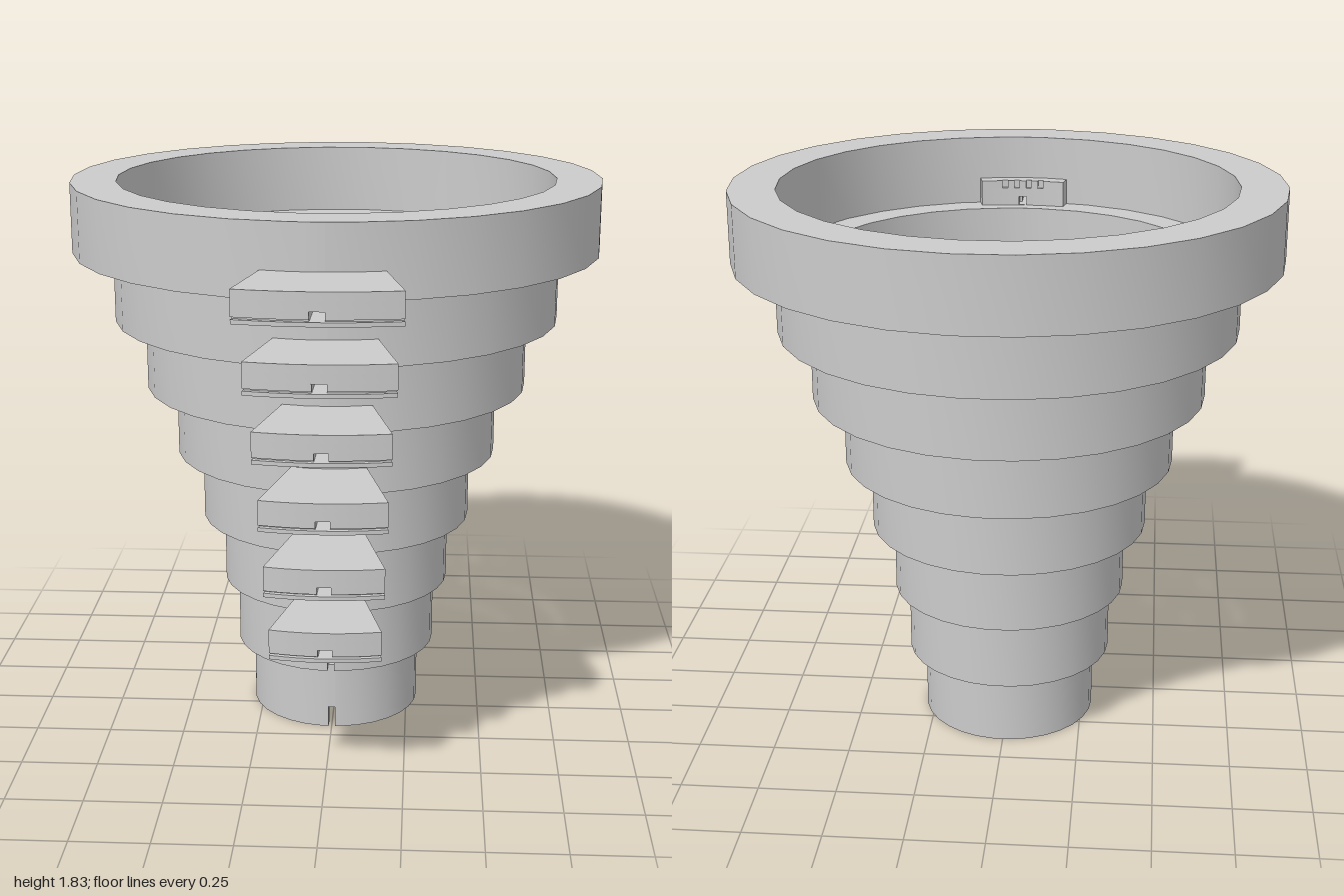
import * as THREE from 'three';
import { toCreasedNormals } from 'three/addons/utils/BufferGeometryUtils.js';

const material = new THREE.MeshStandardMaterial({ color: 0xcccccc });
const DEG = Math.PI / 180;

// Point at radius r, angle a measured from the front
const polar = (r, a) => new THREE.Vector2(r * Math.sin(a), -r * Math.cos(a));

// Arc from a0 to a1, with corners on a regular grid of the given step
function arc(r, a0, a1, step) {
  const pts = [polar(r, a0)];
  const first = Math.ceil((a0 + 1e-4) / step - 0.5);
  for (let k = first; (k + 0.5) * step < a1 - 1e-4; k++) pts.push(polar(r, (k + 0.5) * step));
  pts.push(polar(r, a1));
  return pts;
}

// Upright slab over a plan outline, from y0 to y1
function slab(name, points, y0, y1) {
  const geo = new THREE.ExtrudeGeometry(new THREE.Shape(points), { depth: y1 - y0, bevelEnabled: false });
  geo.rotateX(-Math.PI / 2);
  geo.translate(0, y0, 0);
  const mesh = new THREE.Mesh(toCreasedNormals(geo, 0.5), material);
  mesh.name = name;
  return mesh;
}

// Plan outline of a piece of a ring
const sector = (ri, ro, a0, a1, step) =>
  [...arc(ro, a0, a1, step), ...arc(ri, a0, a1, step).reverse()];

// Sector with small square notches cut into its inner edge
function notchedSector(ri, ro, half, count, depth) {
  const inner = [polar(ri, -half)];
  const pitch = (half * 1.15) / count, w = pitch * 0.22;
  for (let i = 0; i < count; i++) {
    const a = (i - (count - 1) / 2) * pitch;
    inner.push(polar(ri, a - w), polar(ri + depth, a - w), polar(ri + depth, a + w), polar(ri, a + w));
  }
  inner.push(polar(ri, half));
  return [...arc(ro, -half, half, 3 * DEG), ...inner.reverse()];
}

// Tiered tube with a narrow slot at the foot of its front wall
function makeTier({ outer, inner }, y0, y1) {
  const g = new THREE.Group();
  g.name = 'tier';
  const gap = 0.011 / outer;
  const step = 12 * DEG;
  g.add(slab('tierWall', sector(inner, outer, gap, 2 * Math.PI - gap, step), y0, y1));
  g.add(slab('wallAboveSlot', sector(inner, outer, -gap, gap, step), y0 + 0.072, y1));
  return g;
}

// Fan-shaped tab through the wall: front groove, centre tunnel, notched inner edge
function makeTab(ri, ro, half, y) {
  const g = new THREE.Group();
  g.name = 'tab';
  const s = 3 * DEG;
  g.add(slab('tabBase', sector(ri, ro, -half, half, s), y, y + 0.013));
  for (const side of [-1, 1]) {
    const halfSector = (r) => {
      const pts = sector(ri, r, 0.022 / ro, half, s);
      return pts.map((p) => new THREE.Vector2(side * p.x, p.y));
    };
    g.add(slab('tabGroove', halfSector(ro - 0.015), y + 0.013, y + 0.02));
    g.add(slab('tabTunnelSide', halfSector(ro), y + 0.02, y + 0.042));
  }
  g.add(slab('tabBody', sector(ri, ro, -half, half, s), y + 0.042, y + 0.072));
  g.add(slab('tabTop', notchedSector(ri, ro, half, 4, 0.012), y + 0.072, y + 0.098));
  return g;
}

export function createModel() {
  const model = new THREE.Group();
  model.name = 'steppedCone';

  // Bottom to top: radii, centre z, and inner and outer z of the tab
  const tiers = [
    { outer: 0.285, inner: 0.24, z: -0.101 },
    { outer: 0.338, inner: 0.285, z: -0.102 },
    { outer: 0.383, inner: 0.322, z: -0.105, tab: [0.195, 0.655] },
    { outer: 0.453, inner: 0.387, z: -0.108, tab: [0.25, 0.71] },
    { outer: 0.536, inner: 0.457, z: -0.112, tab: [0.3, 0.76] },
    { outer: 0.634, inner: 0.533, z: -0.118, tab: [0.36, 0.82] },
    { outer: 0.735, inner: 0.614, z: -0.126, tab: [0.435, 0.9] },
    { outer: 0.868, inner: 0.72, z: -0.133, tab: [0.535, 1.0] },
  ];
  const height = 1.83 / tiers.length;

  tiers.forEach((t, i) => {
    const y0 = i * height;
    const tier = makeTier(t, y0, y0 + height);
    if (t.tab) {
      const [zi, zo] = t.tab;
      const tab = makeTab(zi - t.z, zo - t.z, (13.3 - 0.22 * (i - 2)) * DEG, y0 - 0.012);
      tab.position.x = 0.004;
      tier.add(tab);
    }
    tier.position.z = t.z;
    model.add(tier);
  });
  return model;
}
